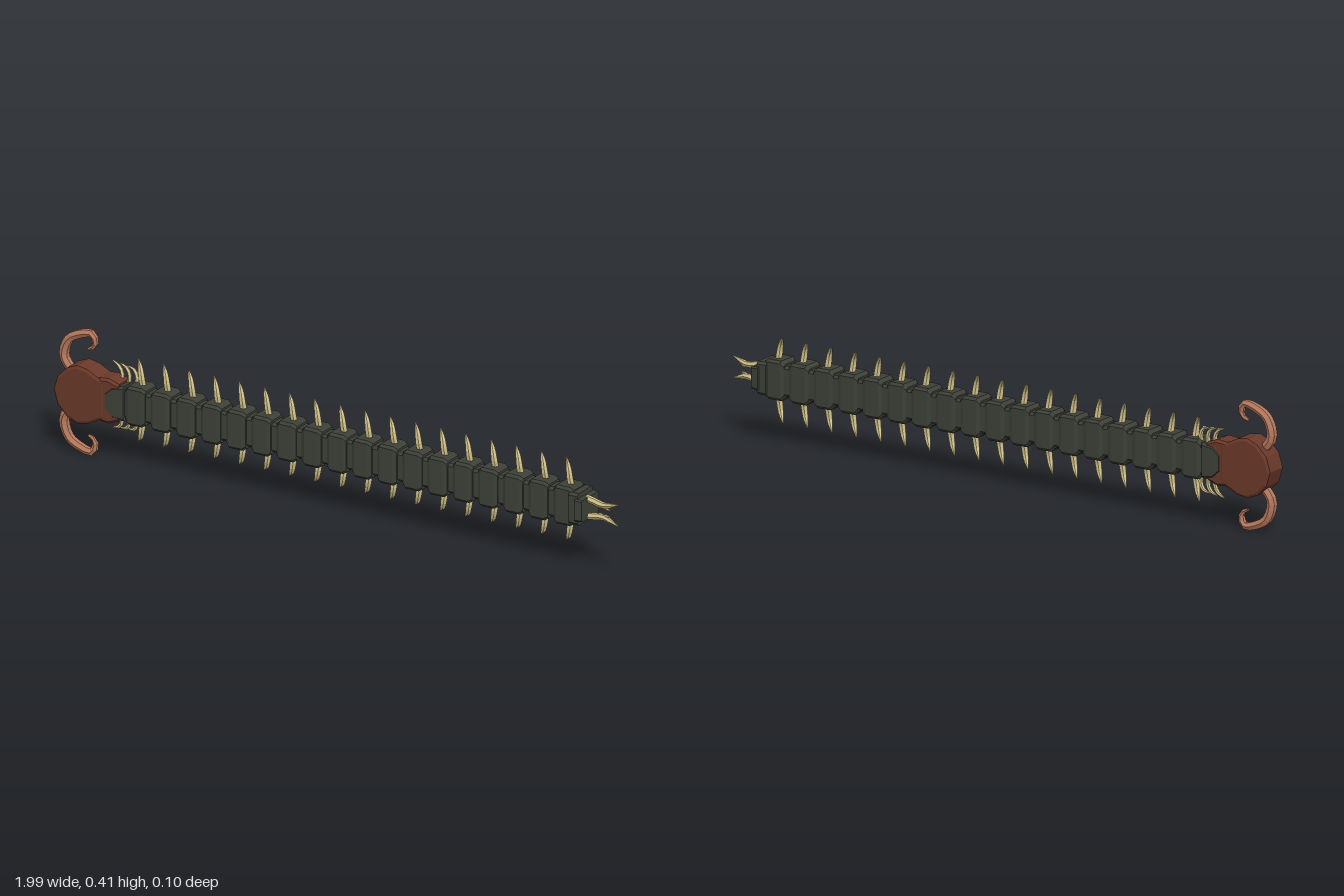
import * as THREE from 'three';

const MID = 0.207; // height of the body axis

const mat = (name, color) => {
  const m = new THREE.MeshStandardMaterial({ color });
  m.name = name;
  return m;
};

// Chamfered rectangular rings lofted along x; each ring is [x, halfY, zBack, zFront]
function loft(rings, chamfer = 0.008) {
  const pos = [], idx = [];
  for (const [x, h, b, f] of rings) {
    const c = chamfer;
    const ring = [[h, b + c], [h, f - c], [h - c, f], [c - h, f], [-h, f - c], [-h, b + c], [c - h, b], [h - c, b]];
    for (const [y, z] of ring) pos.push(x, y, z);
  }
  for (let r = 0; r < rings.length - 1; r++) {
    for (let i = 0; i < 8; i++) {
      const a = r * 8 + i, b = r * 8 + (i + 1) % 8;
      idx.push(a, b, a + 8, b, b + 8, a + 8);
    }
  }
  const last = (rings.length - 1) * 8;
  for (let i = 1; i < 7; i++) {
    idx.push(0, i + 1, i);
    idx.push(last, last + i, last + i + 1);
  }
  const g = new THREE.BufferGeometry();
  g.setAttribute('position', new THREE.Float32BufferAttribute(pos, 3));
  g.setIndex(idx);
  return facet(g);
}

// Separate the faces so each one is flat
function facet(g) {
  const flat = g.index ? g.toNonIndexed() : g;
  flat.computeVertexNormals();
  return flat;
}

// Tube through points whose radius follows the list of radii
function taperedTube(points, radii, steps, sides) {
  const curve = new THREE.CatmullRomCurve3(points.map(p => new THREE.Vector3(...p)));
  const g = new THREE.TubeGeometry(curve, steps, 1, sides);
  const p = g.attributes.position, v = new THREE.Vector3();
  for (let i = 0; i <= steps; i++) {
    const c = curve.getPointAt(i / steps);
    const t = i / steps * (radii.length - 1), k = Math.min(Math.floor(t), radii.length - 2);
    const r = THREE.MathUtils.lerp(radii[k], radii[k + 1], t - k);
    for (let j = 0; j <= sides; j++) {
      const n = i * (sides + 1) + j;
      v.fromBufferAttribute(p, n).sub(c).multiplyScalar(r).add(c);
      p.setXYZ(n, v.x, v.y, v.z);
    }
  }
  return facet(g);
}

export function createModel() {
  const shell = mat('dark shell', 0x3d4038);
  const headBrown = mat('head brown', 0x6a3829);
  const antennaTan = mat('antenna copper', 0xb87a5e);
  const bone = mat('leg bone', 0xd0c088);
  bone.side = antennaTan.side = THREE.DoubleSide;

  const model = new THREE.Group();
  model.name = 'centipede';
  const body = new THREE.Group();
  body.name = 'body';
  body.position.y = MID;
  model.add(body);
  const add = (name, geometry, material, x = 0) => {
    const m = new THREE.Mesh(geometry, material);
    m.name = name;
    m.position.x = x;
    body.add(m);
  };

  // Eighteen body plates, each with a pair of clawed legs
  const plate = loft([
    [-0.035, 0.053, -0.032, 0.036], [-0.024, 0.063, -0.037, 0.042],
    [0.022, 0.063, -0.037, 0.042], [0.035, 0.055, -0.033, 0.038],
  ]);
  const legs = [1, -1].map(s => taperedTube([
    [0.006, s * 0.055, 0], [0.003, s * 0.085, 0.004], [-0.003, s * 0.108, 0], [-0.024, s * 0.133, -0.021],
  ], [0.011, 0.011, 0.0085, 0.002], 7, 6));
  for (let i = 0; i < 18; i++) {
    const x = -0.707 + i * 0.0896;
    add('bodyPlate', plate, shell, x);
    legs.forEach((g, k) => add(k ? 'rightLeg' : 'leftLeg', g, bone, x));
  }

  // Narrow core showing between the plates
  add('bodyCore', loft([[-0.78, 0.048, -0.03, 0.033], [0.84, 0.048, -0.03, 0.033]]), shell);

  // Neck plate and stepped tail plates
  add('neckPlate', loft([[-0.81, 0.03, -0.034, 0.046], [-0.785, 0.052, -0.035, 0.046], [-0.748, 0.057, -0.035, 0.04]]), shell);
  add('tailPlate', loft([[0.84, 0.052, -0.043, 0.047], [0.873, 0.052, -0.043, 0.047]]), shell);
  add('tailTip', loft([[0.865, 0.037, -0.051, 0.053], [0.89, 0.035, -0.049, 0.051]], 0.005), shell);

  // Head: angular outline with shallow bevelled faces
  const half = [[-0.992, 0], [-0.978, 0.045], [-0.945, 0.078], [-0.91, 0.092], [-0.875, 0.086], [-0.835, 0.066], [-0.815, 0.06]];
  const outline = [...half, ...half.slice(1).reverse().map(([x, y]) => [x, -y])];
  const head = new THREE.ExtrudeGeometry(new THREE.Shape(outline.map(p => new THREE.Vector2(...p))), {
    depth: 0.068, bevelEnabled: true, bevelThickness: 0.005, bevelSize: 0.008, bevelOffset: -0.006, bevelSegments: 1,
  });
  head.translate(0, 0, -0.027);
  add('head', facet(head), headBrown);
  add('headCollar', loft([[-0.85, 0.068, -0.031, 0.045], [-0.80, 0.073, -0.031, 0.044], [-0.765, 0.06, -0.031, 0.042]]), headBrown);

  for (const s of [1, -1]) {
    const side = s > 0 ? 'left' : 'right';
    // Hooked antennae
    add(side + 'Antenna', taperedTube([
      [-0.94, s * 0.05, 0.006], [-0.978, s * 0.1, 0.006], [-0.962, s * 0.158, 0.006], [-0.93, s * 0.18, 0.006],
      [-0.877, s * 0.191, 0.006], [-0.868, s * 0.155, 0.006], [-0.892, s * 0.14, 0.006],
    ], [0.014, 0.016, 0.016, 0.015, 0.014, 0.011, 0.005], 16, 6), antennaTan);
    // Small mouth legs behind the head
    for (let i = 0; i < 3; i++) {
      const x = -0.795 + i * 0.026;
      add(side + 'MouthLeg', taperedTube([
        [x + 0.01, s * 0.045, -0.012], [x + 0.012, s * 0.08, -0.012],
        [x, s * 0.098, -0.014], [x - 0.028, s * (0.109 - i * 0.004), -0.022],
      ], [0.007, 0.007, 0.006, 0.002], 6, 5), bone);
    }
    // Tail spikes, each with a short barb
    add(side + 'TailSpike', taperedTube([
      [0.88, s * 0.03, 0.008], [0.915, s * 0.023, 0.009], [0.945, s * 0.019, 0.012], [1.0, s * 0.034, 0.02],
    ], [0.011, 0.011, 0.009, 0.002], 7, 6), bone);
    add(side + 'TailBarb', taperedTube([
      [0.935, s * 0.02, 0.01], [0.955, s * 0.012, 0.014], [0.975, s * 0.01, 0.022],
    ], [0.007, 0.005, 0.001], 4, 5), bone);
  }
  return model;
}
